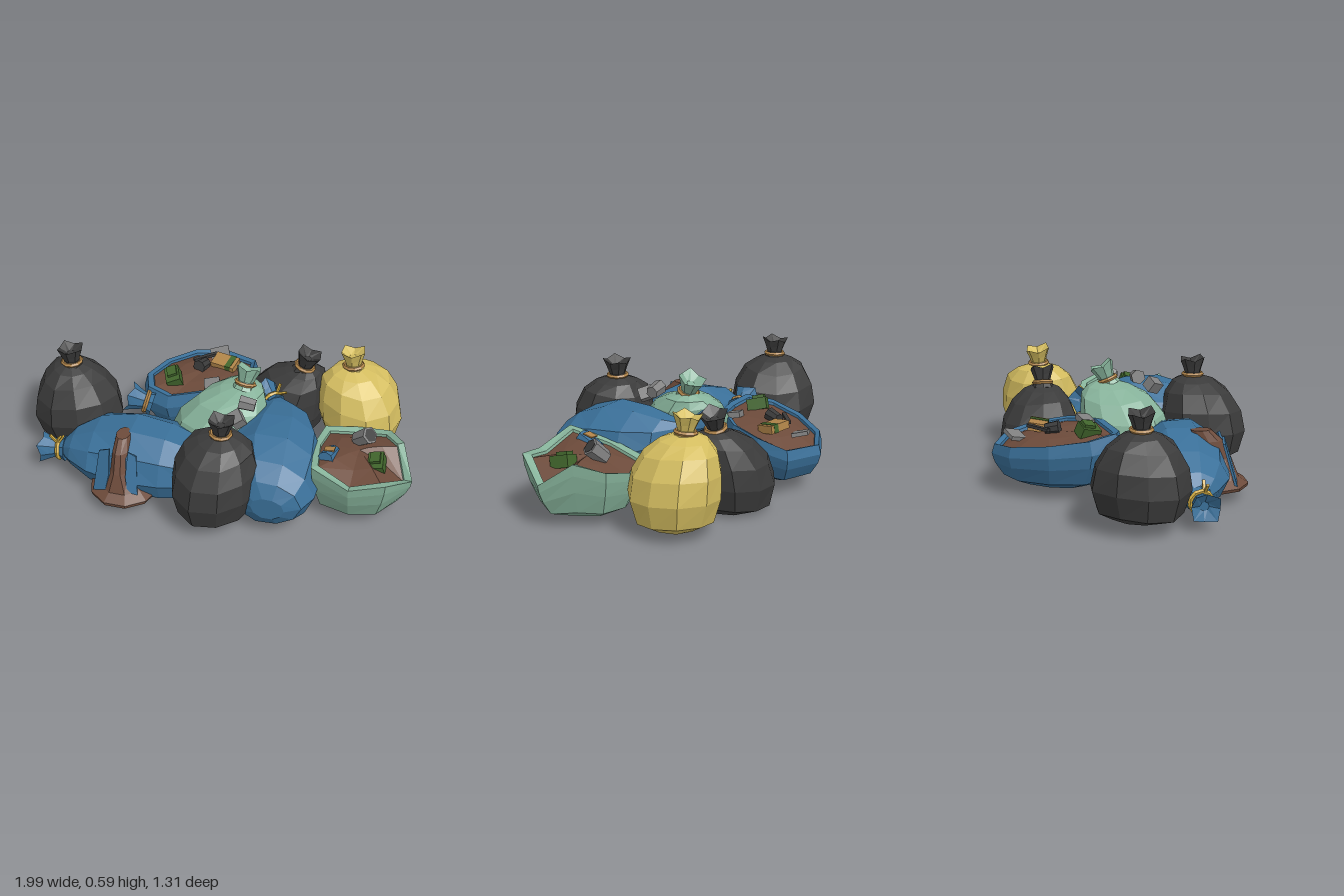
import * as THREE from 'three';

const material = (name, color) => {
  const m = new THREE.MeshStandardMaterial({ color });
  m.name = name;
  m.flatShading = true;
  return m;
};

export function createModel() {
  const root = new THREE.Group();
  root.name = 'garbagePile';
  const black = material('black plastic', 0x3b3b3b), blue = material('blue plastic', 0x3a7099);
  const green = material('pale green plastic', 0x86b29a), yellow = material('yellow plastic', 0xd4bd60);
  const brown = material('brown waste', 0x6d4b3b), tan = material('tan string', 0xb08449);
  const gold = material('gold string', 0xd2ac42), grey = material('grey metal', 0x808080);
  const darkGreen = material('dark green crate', 0x41652c);
  const V = (x, y, z) => new THREE.Vector3(x, y, z);

  function add(name, geo, mat, parent = root) {
    const m = new THREE.Mesh(geo, mat);
    m.name = name;
    parent.add(m);
    return m;
  }

  // Skin over rings of points, closed with a fan at both ends
  function skin(rings) {
    const pos = [], n = rings[0].length;
    const tri = (...pts) => pts.forEach(p => pos.push(p.x, p.y, p.z));
    const mid = r => r.reduce((s, p) => s.add(p), V(0, 0, 0)).divideScalar(n);
    const first = rings[0], last = rings[rings.length - 1], c0 = mid(first), c1 = mid(last);
    for (let j = 0; j < n; j++) {
      const k = (j + 1) % n;
      for (let i = 0; i < rings.length - 1; i++) {
        const a = rings[i], b = rings[i + 1];
        tri(a[j], b[j], a[k]);
        tri(a[k], b[j], b[k]);
      }
      tri(c0, first[j], first[k]);
      tri(c1, last[k], last[j]);
    }
    const g = new THREE.BufferGeometry();
    g.setAttribute('position', new THREE.Float32BufferAttribute(pos, 3));
    g.computeVertexNormals();
    return g;
  }
  const circle = (n, f) => Array.from({ length: n }, (_, j) => f(j / n * Math.PI * 2, j));

  // Flared, gathered bag mouth with a string around it; gold strings have loose ends
  function knot(name, mat, tieMat, at, dir, s = 1) {
    const g = new THREE.Group();
    g.name = name;
    g.position.set(...at);
    g.quaternion.setFromUnitVectors(V(0, 1, 0), V(...dir).normalize());
    g.scale.setScalar(s);
    const rows = [[0.06, -0.03, 0], [0.04, 0.01, 0], [0.05, 0.04, 0.003], [0.066, 0.08, 0.009], [0.02, 0.05, 0]];
    add('gatheredMouth', skin(rows.map(([r, y, w]) => circle(8, (a, j) => {
      const z = (j % 2 ? 1 : -1) * w, q = r + z * 0.6;
      return V(Math.cos(a) * q, y + z + Math.sin(a) * w * 0.6, Math.sin(a) * q);
    }))), mat, g);
    add('string', new THREE.TorusGeometry(0.047, 0.011, 5, 10).rotateX(Math.PI / 2), tieMat, g);
    if (tieMat === gold) for (const side of [-1, 1]) {
      const end = add('stringEnd', new THREE.BoxGeometry(0.05, 0.01, 0.012), gold, g);
      end.position.set(0.065, side * 0.018, 0.01);
      end.rotation.z = side * 0.6;
    }
    root.add(g);
  }

  // Upright tied bags; slope narrows the shoulders
  const profile = [[0.57, 0], [0.85, 0.08], [1, 0.36], [0.96, 0.62], [0.8, 0.84], [0.53, 0.96], [0.22, 1.02]];
  function uprightBag(name, mat, x, z, y0, y1, r, lean, dir, seed, slope) {
    add(name, skin(profile.map(([p, t], i) => circle(10, a => {
      const q = p * r * (1.01 + 0.035 * Math.sin(3 * a + seed + i * 0.5)) * (1 - slope * t ** 3);
      const dip = i > 0 && i < 5 ? 0.012 * Math.sin(2 * a + seed) : 0;
      const shift = t ** 3;
      return V(x + Math.cos(a) * q + lean[0] * shift, y0 + t * (y1 - y0) + dip, z + Math.sin(a) * q + lean[1] * shift);
    }))), mat);
    knot(name + 'Knot', mat, tan, [x + lean[0], y1 + 0.015, z + lean[1]], dir);
  }
  uprightBag('blackBagRight', black, -0.77, -0.02, 0.06, 0.455, 0.232, [-0.025, 0], [-0.05, 1, 0], 0, 0.22);
  uprightBag('blackBagFront', black, 0.08, 0.44, 0.07, 0.48, 0.215, [0.02, -0.05], [0.05, 1, 0], 1, 0.06);
  uprightBag('blackBagBack', black, 0.25, -0.39, 0, 0.4, 0.215, [0.1, 0.03], [0.3, 1, 0], 2, 0.2);
  uprightBag('yellowBag', yellow, 0.66, -0.34, 0.04, 0.45, 0.218, [-0.06, -0.02], [-0.1, 1, -0.05], 3, 0.02);
  uprightBag('greenBagMiddle', green, -0.02, 0.04, 0.09, 0.465, 0.225, [0.13, -0.09], [0.15, 1, -0.4], 4, 0.08);

  // Bags lying down: rows of x, y, z, half width, half height
  function lyingBag(name, rows, yaw, floor) {
    const t = V(Math.cos(yaw), 0, Math.sin(yaw)), u = V(-t.z, 0, t.x);
    add(name, skin(rows.map(([x, y, z, w, h], i) => circle(10, a => {
      const q = 1.02 + 0.03 * Math.sin(3 * a + i);
      const p = V(x, y + Math.sin(a) * h * q, z).addScaledVector(u, Math.cos(a) * w * q);
      p.y = Math.max(p.y, floor);
      return p;
    }))), blue);
  }
  lyingBag('blueBagLarge', [
    [0.25, 0.33, -0.13, 0.04, 0.04], [0.3, 0.28, -0.05, 0.15, 0.12], [0.31, 0.24, 0.09, 0.225, 0.185],
    [0.315, 0.225, 0.26, 0.25, 0.2], [0.335, 0.205, 0.4, 0.22, 0.175], [0.35, 0.195, 0.485, 0.16, 0.125],
    [0.36, 0.19, 0.52, 0.08, 0.06]], Math.PI / 2, 0.03);
  knot('blueBagLargeKnot', blue, gold, [0.23, 0.34, -0.13], [-0.55, 0.2, -0.6]);

  lyingBag('tornBlueBag', [
    [-0.77, 0.12, 0.25, 0.035, 0.035], [-0.7, 0.14, 0.235, 0.12, 0.09], [-0.58, 0.15, 0.225, 0.2, 0.145],
    [-0.38, 0.15, 0.24, 0.23, 0.2], [-0.2, 0.155, 0.25, 0.22, 0.185], [-0.04, 0.16, 0.26, 0.18, 0.14],
    [0.06, 0.17, 0.27, 0.07, 0.06]], 0, 0.06);
  knot('tornBlueBagKnot', blue, gold, [-0.785, 0.115, 0.255], [-1, -0.05, 0.08], 1.1);

  // Waste pouring out of the tear: rows of centre z, y, half width, half depth
  add('spill', skin([[0.4, 0.063, 0.165, 0.165], [0.39, 0.08, 0.175, 0.178], [0.39, 0.11, 0.13, 0.13],
    [0.385, 0.2, 0.055, 0.1], [0.36, 0.29, 0.045, 0.08], [0.33, 0.345, 0.035, 0.05]].map(([z, y, w, d]) =>
    circle(10, a => V(-0.39 - (y - 0.06) * 0.06 + Math.cos(a) * w, y, z + Math.sin(a) * d)))), brown);
  // Loose flaps on both sides of the tear
  for (const [s, w] of [[-1, 0.08], [1, 0.06]]) {
    const shape = new THREE.Shape([new THREE.Vector2(0, 0.12), new THREE.Vector2(s * w * 0.7, 0.1),
      new THREE.Vector2(s * w, -0.12), new THREE.Vector2(s * 0.01, -0.1), new THREE.Vector2(-s * 0.006, -0.01)]);
    const flap = add('tearFlap', new THREE.ExtrudeGeometry(shape, { depth: 0.012, bevelEnabled: false }), blue);
    flap.position.set(-0.4 + s * 0.045, 0.2, 0.46);
    flap.rotation.set(-0.3, s * 0.25, 0);
  }

  // Split open bags filled with waste: outline points of x, z, rim height; wall rows of scale, height
  function openBag(name, mat, outline, [cx, cz], y0, wall, inner) {
    const ring = (s, f) => outline.map(([x, z, y]) => V(cx + (x - cx) * s, f(y), cz + (z - cz) * s));
    add(name, skin([...wall.map(([s, k]) => ring(s, y => y0 + (y - y0) * k)),
      ring(inner + 0.01, y => y - 0.008), ring(inner - 0.04, y => y - 0.07)]), mat);
    add(name + 'Waste', skin([ring(inner, y => y - 0.022), ring(0.5, y => y * 0.5 + 0.148), ring(0.2, y => y * 0.2 + 0.242)]), brown);
  }
  openBag('openBlueBag', blue, [
    [0.05, -0.58, 0.25], [0.07, -0.42, 0.29], [0.03, -0.25, 0.32], [-0.1, -0.1, 0.34], [-0.3, -0.03, 0.32],
    [-0.42, -0.06, 0.34], [-0.47, -0.2, 0.32], [-0.42, -0.4, 0.29], [-0.3, -0.58, 0.26], [-0.15, -0.655, 0.24]],
  [-0.17, -0.37], 0.05, [[0.5, 0], [0.8, 0.16], [0.95, 0.5], [1, 0.75], [0.95, 1]], 0.85);
  knot('openBlueBagKnot', blue, tan, [-0.41, 0.27, -0.04], [-0.85, 0.25, 0.1], 1.1);
  openBag('openGreenBag', green, [
    [0.53, 0.36, 0.35], [0.5, 0.12, 0.31], [0.52, -0.08, 0.27], [0.68, -0.14, 0.25], [0.85, -0.1, 0.29],
    [0.93, 0.03, 0.33], [1, 0.18, 0.22], [0.89, 0.36, 0.31], [0.72, 0.4, 0.28]],
  [0.72, 0.1], 0.045, [[0.55, 0], [0.76, 0.12], [0.9, 0.5], [0.97, 0.8], [0.99, 1]], 0.84);

  // Loose rubbish
  function box(name, mat, size, at, rot) {
    const m = add(name, new THREE.BoxGeometry(...size), mat);
    m.position.set(...at);
    m.rotation.set(...rot);
  }
  function can(name, mat, r, h, at, rot, sides = 6) {
    const m = add(name, new THREE.CylinderGeometry(r, r * 0.85, h, sides), mat);
    m.position.set(...at);
    m.rotation.set(...rot);
  }
  can('greyCan', grey, 0.038, 0.08, [0.16, 0.475, 0.11], [0.3, 0, 1.4]);
  box('greyScrap', grey, [0.06, 0.06, 0.07], [0.13, 0.435, 0.19], [0.4, 0.6, 0.3]);
  box('greyScrap', grey, [0.1, 0.02, 0.08], [-0.15, 0.28, -0.54], [0.25, 0.4, 0.1]);
  box('greyScrap', grey, [0.08, 0.03, 0.07], [-0.1, 0.33, -0.19], [0.2, 0.3, 0.1]);
  can('blackTin', black, 0.035, 0.07, [-0.2, 0.32, -0.36], [1.3, 0.2, 0.3], 8);
  box('blackStick', black, [0.14, 0.015, 0.02], [-0.2, 0.325, -0.43], [0, 0.7, 0]);
  box('carton', tan, [0.13, 0.04, 0.09], [-0.09, 0.31, -0.42], [0.15, -0.2, 0]);
  box('cartonLabel', darkGreen, [0.03, 0.044, 0.092], [-0.06, 0.31, -0.414], [0.15, -0.2, 0]);
  for (const [x, y, z, ry] of [[-0.31, 0.33, -0.2, 0.4], [0.82, 0.285, 0.17, 0.1]]) {
    box('crate', darkGreen, [0.075, 0.06, 0.1], [x, y, z], [0.25, ry, 0.25]);
    box('crateLid', darkGreen, [0.05, 0.02, 0.06], [x - 0.01, y + 0.036, z], [0.25, ry, 0.25]);
  }
  can('greyTin', grey, 0.045, 0.1, [0.73, 0.33, 0.04], [0.5, 0, -0.7]);
  can('tinOpening', black, 0.036, 0.006, [0.763, 0.364, 0.058], [0.5, 0, -0.7]);
  can('blueCup', blue, 0.04, 0.12, [0.59, 0.305, 0.19], [1.3, 0, 0.2], 8);
  box('cupLabel', tan, [0.05, 0.006, 0.05], [0.59, 0.346, 0.19], [-0.25, 0, 0.1]);
  return root;
}
